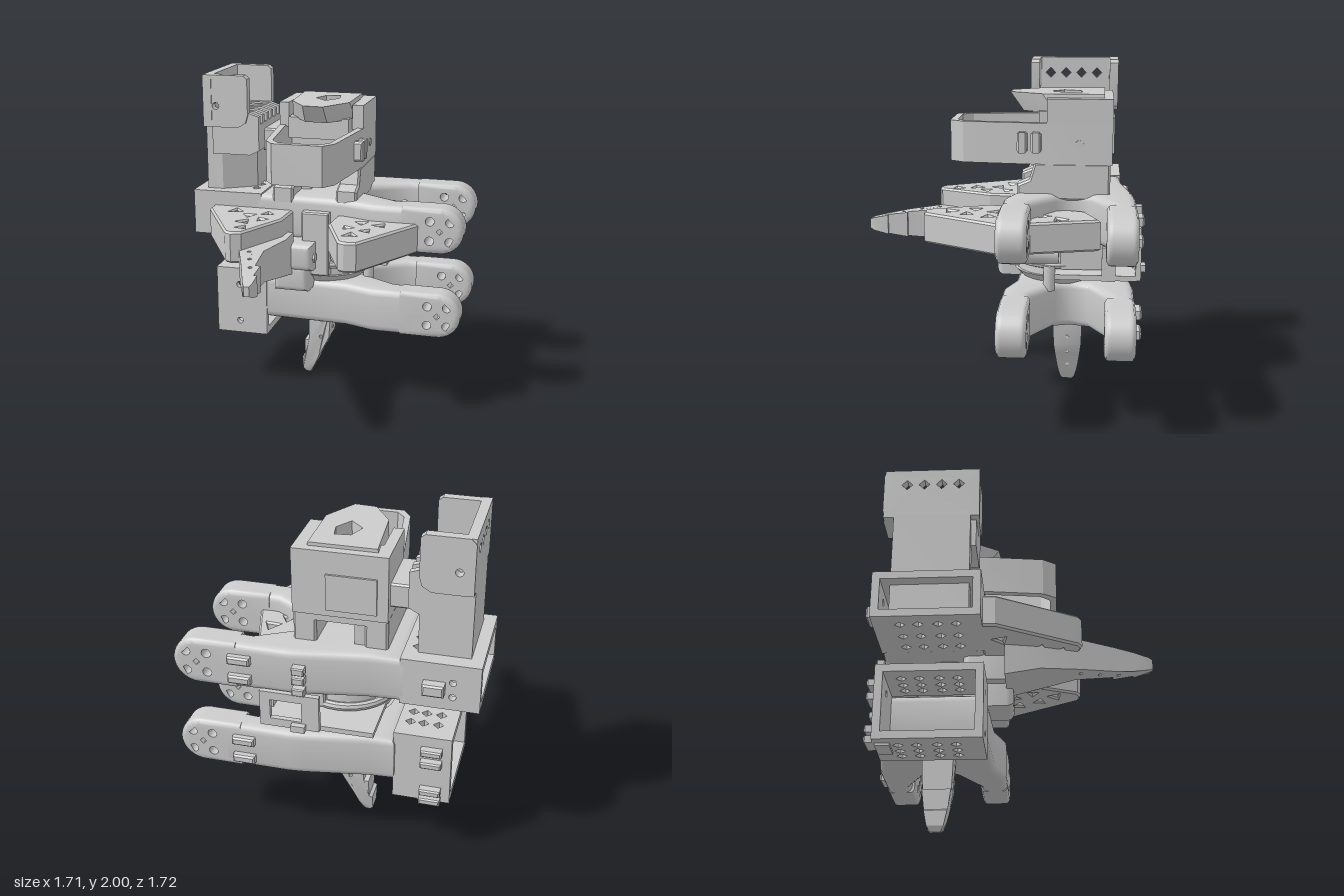
import * as THREE from 'three';
import { toCreasedNormals } from 'three/addons/utils/BufferGeometryUtils.js';

const mat = new THREE.MeshStandardMaterial({ color: 0xcccccc });
const root = new THREE.Group();

function add(name, geo, crease = 0.6) {
  const m = new THREE.Mesh(toCreasedNormals(geo, crease), mat);
  m.name = name;
  root.add(m);
}

// Outline of a round or n-sided hole
function ring(u, v, r, n = 12) {
  return Array.from({ length: n }, (_, i) => {
    const t = i / n * Math.PI * 2;
    return [u + r * Math.cos(t), v + r * Math.sin(t)];
  });
}

// Extrudes an outline between a and b. Axis x takes [z,y], axis y takes [x,z], axis z takes [x,y].
function slab(axis, pts, a, b, bevel = 0, cuts = [], steps = 1) {
  const s = axis === 'x' ? [-1, 1] : axis === 'y' ? [1, -1] : [1, 1];
  const vecs = list => list.map(p => new THREE.Vector2(p[0] * s[0], p[1] * s[1]));
  const outline = vecs(pts);
  if (THREE.ShapeUtils.isClockWise(outline)) outline.reverse();
  const shape = new THREE.Shape(outline);
  for (const c of cuts) {
    const cut = vecs(c);
    if (!THREE.ShapeUtils.isClockWise(cut)) cut.reverse();
    shape.holes.push(new THREE.Path(cut));
  }
  const g = new THREE.ExtrudeGeometry(shape, {
    depth: b - a - 2 * bevel, steps, bevelEnabled: bevel > 0, bevelThickness: bevel,
    bevelSize: bevel, bevelOffset: -bevel, bevelSegments: bevel > 0.03 ? 4 : 1
  });
  g.translate(0, 0, a + bevel);
  if (axis === 'x') g.rotateY(Math.PI / 2);
  if (axis === 'y') g.rotateX(-Math.PI / 2);
  return g;
}

// Moves every corner of a geometry by a rule
function reshape(geo, rule) {
  const p = geo.attributes.position, v = new THREE.Vector3();
  for (let i = 0; i < p.count; i++) {
    rule(v.fromBufferAttribute(p, i));
    p.setXYZ(i, v.x, v.y, v.z);
  }
  return geo;
}

const rect = (u0, u1, v0, v1) => [[u0, v0], [u1, v0], [u1, v1], [u0, v1]];

function box(name, x0, x1, y0, y1, z0, z1, bevel = 0) {
  add(name, slab('z', rect(x0, x1, y0, y1), z0, z1, bevel));
}

function cyl(name, axis, r0, r1, a, b, u, v, n = 24) {
  const g = new THREE.CylinderGeometry(r1, r0, b - a, n);
  if (axis === 'x') g.rotateZ(-Math.PI / 2).translate((a + b) / 2, v, u);
  if (axis === 'y') g.translate(u, (a + b) / 2, v);
  if (axis === 'z') g.rotateX(Math.PI / 2).translate(u, v, (a + b) / 2);
  add(name, g);
}

// Four-sided holes in a grid
const diamonds = (us, vs, r = 0.03) => us.flatMap(u => vs.map(v => ring(u, v, r, 4)));

// Forked yoke: solid root plus two arms with bored round ends
function yoke(name, y0, xRoot) {
  const y1 = y0 + 0.28, yc = y0 + 0.14, edge = 0.026;
  add(name + 'Root', slab('y', [
    [xRoot, -0.71], [-0.25, -0.72], [0.1, -0.78], [0.2, -0.79], [0.56, -0.79], [0.56, -0.63], [0.42, -0.64],
    [0.2, -0.52], [0.17, -0.42], [0.2, -0.33], [0.42, -0.2], [0.56, -0.19], [0.56, -0.03], [0.3, -0.03],
    [0.12, -0.09], [xRoot, -0.11]], y0, y1, 0.045), 0.8);
  const end = [[0.48, y1], [0.48, y0]];
  for (let i = 0; i <= 20; i++) {
    const t = -Math.PI / 2 + Math.PI * i / 20;
    end.push([0.71 + 0.14 * Math.cos(t), yc + 0.14 * Math.sin(t)]);
  }
  const bores = [0.65, 0.77].flatMap(x => [-0.06, 0.06].map(d => ring(x, yc + d, 0.027)));
  bores.push(ring(0.71, yc, 0.02, 4));
  for (const z of [-0.2, -0.79]) {
    // Round the rim towards both faces
    const arm = reshape(slab('z', end, z, z + 0.17, 0, bores, 14), v => {
      const dx = Math.max(v.x - 0.71, 0), dy = v.y - yc;
      const e = Math.max(0, edge - Math.min(v.z - z, z + 0.17 - v.z));
      if (Math.hypot(dx, dy) < 0.13) return;
      const k = 1 - (edge - Math.sqrt(edge * edge - Math.min(e, edge) ** 2)) / 0.14;
      v.y = yc + dy * k;
      if (dx > 0) v.x = 0.71 + dx * k;
    });
    add(name + 'Arm', arm, 0.8);
  }
  // Clips on the back arm
  for (const dy of [-0.07, 0.05])
    box(name + 'Clip', 0.39, 0.52, yc + dy - 0.02, yc + dy + 0.03, -0.83, -0.78, 0.01);
}

// Square sleeve, open towards -x
function sleeve(name, x0, x1, y0, y1, z0, z1) {
  const t = 0.045, plan = rect(x0, x1, z0, z1);
  const grid = diamonds([x0 + 0.1, (x0 + x1) / 2 + 0.02, x1 - 0.07], [-0.56, -0.46, -0.35, -0.25]);
  add(name + 'Floor', slab('y', plan, y0, y0 + t, 0, grid));
  add(name + 'Roof', slab('y', plan, y1 - t, y1, 0, grid));
  const bolts = [ring(x0 + 0.15, y0 + 0.08, 0.02), ring(x0 + 0.15, y1 - 0.11, 0.02)];
  for (const z of [z0, z1 - t]) add(name + 'Wall', slab('z', rect(x0, x1, y0, y1), z, z + t, 0, bolts));
}

// Triangular cut pointing along angle t
const tri = (x, z, r, t) => [0, 2.1, 4.2].map(a => [x + r * Math.cos(a + t), z + r * Math.sin(a + t)]);

export function createModel() {
  root.clear();

  // Yokes and sleeves
  yoke('upperYoke', 1.0, -0.44);
  yoke('lowerYoke', 0.465, -0.4);
  sleeve('upperSleeve', -0.86, -0.42, 1.0, 1.28, -0.71, -0.11);
  sleeve('lowerSleeve', -0.72, -0.39, 0.35, 0.785, -0.69, -0.1);
  for (const y of [0.35, 0.41, 0.6, 0.68]) box('sleeveHook', -0.67, -0.55, y, y + 0.04, -0.74, -0.68, 0.008);
  box('upperSleeveHook', -0.67, -0.55, 1.1, 1.17, -0.77, -0.7, 0.01);
  box('lowerLatch', -0.66, -0.53, 0.335, 0.36, -0.68, -0.6);

  // Tower: column, ribbed bracket and open holder
  add('towerColumn', slab('y', [[-0.79, -0.62], [-0.5, -0.62], [-0.5, -0.3], [-0.69, -0.18], [-0.79, -0.18]],
    1.04, 1.7, 0.012), 0.3);
  add('holderSide', slab('x', rect(-0.68, -0.13, 1.68, 2.0), -0.79, -0.735, 0,
    diamonds([-0.55, -0.45, -0.35, -0.25], [1.9], 0.032)));
  const cheek = [[-0.79, 1.72], [-0.75, 1.68], [-0.57, 1.68], [-0.52, 1.71], [-0.505, 1.76],
    [-0.505, 1.98], [-0.53, 2.0], [-0.76, 2.0], [-0.79, 1.97]];
  for (const z of [-0.685, -0.19]) add('holderCheek', slab('z', cheek, z, z + 0.055, 0, [ring(-0.71, 1.81, 0.022)]));
  add('bracket', slab('z', [[-0.74, 1.7], [-0.44, 1.7], [-0.44, 1.54], [-0.5, 1.51], [-0.74, 1.51]], -0.62, -0.15));
  for (let i = 0; i < 6; i++) {
    const z = -0.62 + i * 0.086;
    add('bracketRib', slab('z', [[-0.74, 1.69], [-0.74, 1.77], [-0.5, 1.77], [-0.44, 1.75], [-0.44, 1.69]], z, z + 0.04));
  }
  box('bracketLink', -0.45, -0.33, 1.52, 1.66, -0.6, -0.27, 0.01);

  // Housing with the open loop at its front
  const outer = [[-0.34, -0.65], [0.19, -0.65], [0.19, -0.27], [0.135, 0.22], [0.08, 0.3], [-0.22, 0.3],
    [-0.275, 0.22], [-0.34, -0.27]];
  const inner = [[-0.3, -0.4], [0.15, -0.4], [0.15, -0.27], [0.1, 0.2], [0.05, 0.26], [-0.19, 0.26],
    [-0.24, 0.2], [-0.3, -0.27]];
  add('housingLoop', slab('y', outer, 1.45, 1.69, 0, [inner]), 0.3);
  add('housingTop', slab('y', [[-0.34, -0.65], [0.19, -0.65], [0.19, -0.27], [0.12, -0.27], [0.12, -0.5],
    [-0.28, -0.5], [-0.28, -0.27], [-0.34, -0.27]], 1.68, 1.83), 0.3);
  box('housingCore', -0.27, 0.11, 1.62, 1.75, -0.5, -0.22);
  box('backPanel', -0.28, 0.0, 1.49, 1.7, -0.662, -0.64);
  for (const z of [-0.16, -0.24]) box('sideClip', 0.15, 0.225, 1.52, 1.64, z, z + 0.06, 0.012);
  cyl('sideBolt', 'x', 0.025, 0.025, 0.18, 0.196, -0.46, 1.57, 12);

  // Faceted mask on top, narrowing to a beak
  const mask = slab('y', [[-0.29, -0.6], [0.13, -0.6], [0.13, -0.24], [0.0, -0.045], [-0.14, -0.055], [-0.26, -0.22]],
    1.74, 1.85, 0, [[[-0.09, -0.46], [0.0, -0.47], [0.015, -0.38], [-0.05, -0.28], [-0.13, -0.36]]]);
  add('mask', reshape(mask, v => {
    const onRim = v.x < -0.2 || v.x > 0.1 || v.z > -0.1;
    if (v.y > 1.8 && onRim) v.x = -0.08 + (v.x + 0.08) * 0.9;
    if (v.y < 1.8 && v.z > -0.25) v.z -= 0.08;
  }), 0.2);

  // Neck cheeks between the housing and the upper yoke
  for (const x of [-0.34, 0.06])
    add('neckCheek', slab('x', [[-0.64, 1.24], [-0.1, 1.24], [-0.1, 1.33], [-0.17, 1.36], [-0.2, 1.46], [-0.64, 1.46]],
      x, x + 0.13, 0.012), 0.3);
  box('neckPlate', -0.24, 0.08, 1.41, 1.46, -0.64, -0.2);
  box('neckBack', -0.24, -0.15, 1.24, 1.42, -0.62, -0.3);

  // Pierced wings
  const wr = [[0.07, -0.1], [0.06, 0.08], [0.2, 0.42], [0.24, 0.44], [0.31, 0.43], [0.58, -0.03], [0.42, -0.59],
    [0.2, -0.5]];
  const wl = [[-0.73, -0.13], [-0.73, -0.04], [-0.47, 0.42], [-0.43, 0.44], [-0.37, 0.42], [-0.22, 0.1], [-0.21, -0.13]];
  const cutR = [tri(0.37, 0.05, 0.035, 0.9), tri(0.24, 0.28, 0.04, 0.4), tri(0.19, 0.14, 0.03, 2),
    tri(0.31, 0.18, 0.03, 3), tri(0.41, -0.36, 0.045, 0.6), tri(0.25, 0.02, 0.035, 1.4), tri(0.34, -0.26, 0.035, 2.6)];
  const cutL = [tri(-0.55, -0.02, 0.04, 0.3), tri(-0.44, 0.06, 0.035, 1.5), tri(-0.34, 0.0, 0.03, 2.4),
    tri(-0.43, 0.2, 0.04, 0.8), tri(-0.34, 0.13, 0.03, 1.9), tri(-0.4, 0.32, 0.03, 2.8)];
  add('leftWing', slab('y', wr, 1.0, 1.18, 0.012, cutR), 0.2);
  add('rightWing', slab('y', wl, 1.0, 1.19, 0.012, cutL), 0.2);

  // Central hub and its knuckles
  cyl('hubBowl', 'y', 0.2, 0.28, 0.71, 0.79, -0.05, -0.35);
  cyl('hub', 'y', 0.26, 0.24, 0.79, 1.02, -0.05, -0.35);
  add('hubRing', new THREE.TorusGeometry(0.27, 0.025, 8, 32).rotateX(Math.PI / 2).translate(-0.05, 0.86, -0.35));
  box('frontBlock', -0.36, -0.05, 0.85, 1.02, -0.25, 0.055, 0.04);
  box('frontKeel', -0.3, -0.08, 0.71, 0.88, -0.28, 0.04, 0.04);
  box('centreBracket', -0.14, 0.03, 0.8, 1.2, -0.14, -0.04, 0.008);
  box('servo', 0.02, 0.24, 0.84, 1.02, -0.63, -0.35, 0.01);
  for (const x of [0.2, 0.1]) cyl('knuckle', 'z', 0.07, 0.07, -0.35, -0.08, x, 0.93, 16);
  for (const z of [0.0, -0.12]) cyl('knuckleBolt', 'x', 0.03, 0.03, -0.06, -0.04, z, 0.93, 6);
  cyl('pivotPin', 'y', 0.035, 0.035, 0.71, 0.86, 0.23, -0.295, 12);

  // Rear cradle
  box('cradleFloor', -0.3, 0.34, 0.805, 0.835, -0.8, -0.33);
  box('cradleEdge', 0.31, 0.34, 0.8, 1.0, -0.68, -0.6);
  add('cradleBack', slab('z', rect(0.0, 0.34, 0.81, 1.03), -0.825, -0.795, 0, [rect(0.1, 0.28, 0.86, 0.98)]));
  box('cradlePost', 0.075, 0.155, 0.81, 0.85, -0.86, -0.78);
  for (const y of [1.03, 1.1, 1.16]) box('cradleClip', 0.08, 0.15, y, y + 0.045, -0.835, -0.78, 0.006);

  // Blades: pierced outline with a tapering thickness
  const low = [[-0.17, 0.5], [-0.17, 0.25], [-0.2, 0.25], [-0.2, 0.13], [-0.22, 0.12], [-0.22, 0.03], [-0.2, 0.0],
    [-0.175, 0.0], [-0.16, 0.02], [-0.135, 0.07], [-0.11, 0.13], [-0.07, 0.21], [-0.035, 0.28], [-0.02, 0.5]];
  add('lowerBlade', reshape(slab('z', low, -1, 1, 0, [ring(-0.09, 0.28, 0.012, 8), ring(-0.08, 0.4, 0.012, 8)]), v => {
    v.z = -0.4 + v.z * (0.03 + 0.062 * Math.min(1, Math.sqrt(v.y / 0.35)));
  }), 0.5);
  const up = [[-0.5, 0.0], [-0.46, 0.2], [-0.38, 0.43], [-0.3, 0.63], [-0.255, 0.75], [-0.225, 0.83], [-0.21, 0.855],
    [-0.18, 0.855], [-0.17, 0.83], [-0.17, 0.74], [-0.19, 0.74], [-0.19, 0.62], [-0.22, 0.62], [-0.24, 0.4],
    [-0.18, 0.15], [-0.18, 0.0]];
  const upBores = [ring(-0.32, 0.43, 0.012, 8), ring(-0.28, 0.54, 0.012, 8), ring(-0.24, 0.65, 0.012, 8)];
  add('upperBlade', reshape(slab('y', up, -1, 1, 0, upBores), v => {
    const k = Math.min(1, Math.sqrt(Math.max(0, 0.86 - v.z) / 0.4));
    const drop = Math.max(0, 0.3 - v.z) * 0.25;
    v.y = v.y > 0 ? 1.0 + 0.015 + 0.065 * k : 0.975 - 0.085 * k - drop;
  }), 0.5);
  // Rivets along the lower blade
  [[0.12, -0.115], [0.22, -0.064], [0.33, -0.03], [0.45, -0.02]].forEach(([y, x]) =>
    cyl('bladeRivet', 'x', 0.011, 0.011, x - 0.03, x + 0.004, -0.4, y, 8));
  return root;
}
